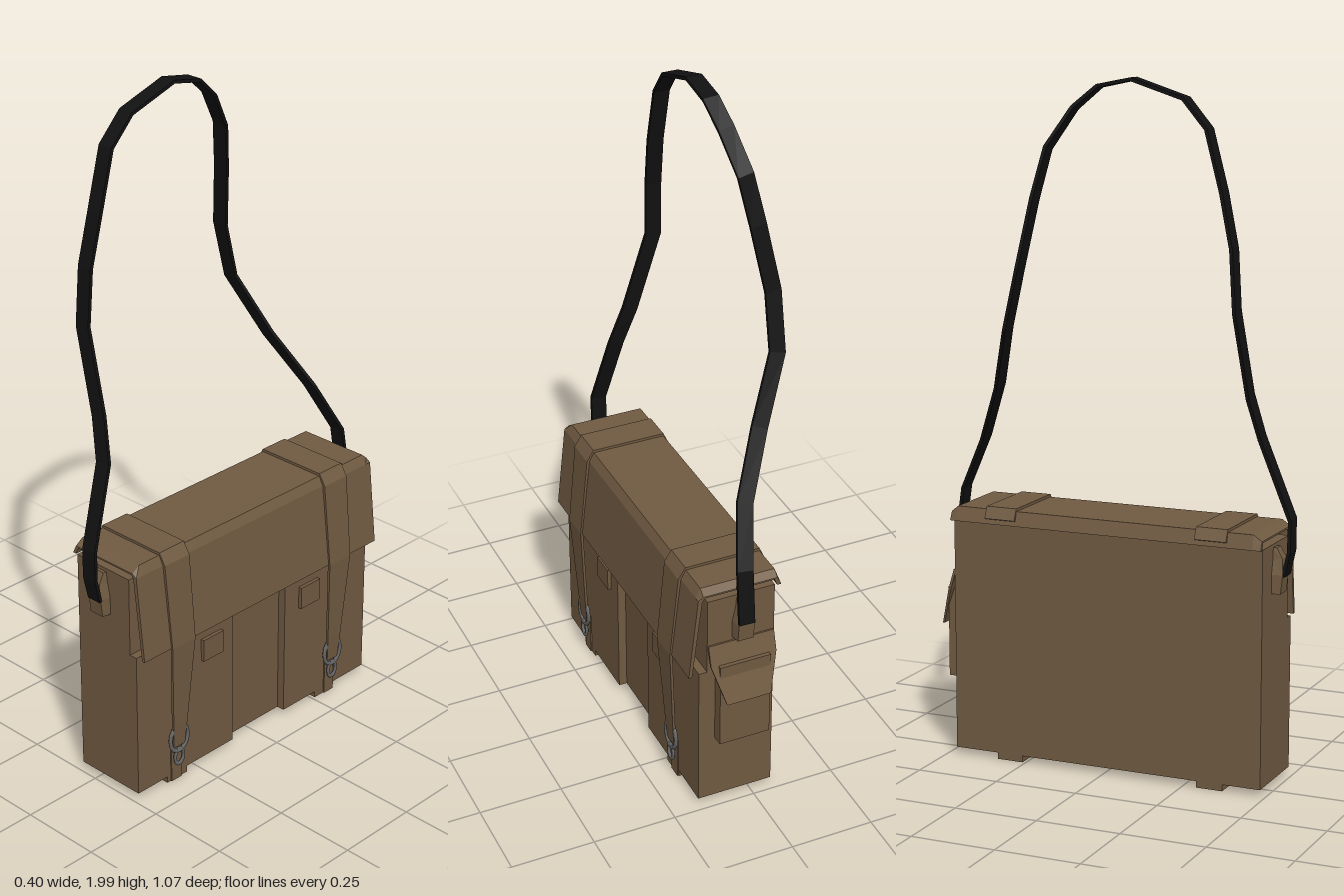
import * as THREE from 'three';

const leather = new THREE.MeshStandardMaterial({ color: 0x705a41, flatShading: true, side: THREE.DoubleSide });
const webbing = new THREE.MeshStandardMaterial({ color: 0x111111, flatShading: true, side: THREE.DoubleSide });
const metal = new THREE.MeshStandardMaterial({ color: 0x666666 });

function add(parent, name, geo, mat = leather) {
  const m = new THREE.Mesh(geo, mat);
  m.name = name;
  parent.add(m);
  return m;
}

// Box given by its limits on each axis
function box(x0, x1, y0, y1, z0, z1) {
  return new THREE.BoxGeometry(x1 - x0, y1 - y0, z1 - z0)
    .translate((x0 + x1) / 2, (y0 + y1) / 2, (z0 + z1) / 2);
}

// Closed solid through matching rings of points; ends are closed by strips
function loft(rings) {
  const n = rings[0].length, pts = rings.flat(), idx = [];
  const quad = (a, b, c, d) => idx.push(a, b, c, a, c, d);
  for (let r = 0; r < rings.length - 1; r++)
    for (let i = 0; i < n; i++) {
      const j = (i + 1) % n, o = r * n;
      quad(o + i, o + j, o + n + j, o + n + i);
    }
  const e = (rings.length - 1) * n;
  for (let i = 0; i < n / 2 - 1; i++) {
    quad(n - 1 - i, n - 2 - i, i + 1, i);
    quad(e + i, e + i + 1, e + n - 2 - i, e + n - 1 - i);
  }
  // Turn the faces outward
  let vol = 0;
  for (let i = 0; i < idx.length; i += 3)
    vol += pts[idx[i]].dot(pts[idx[i + 1]].clone().cross(pts[idx[i + 2]]));
  if (vol < 0) idx.reverse();
  const g = new THREE.BufferGeometry().setFromPoints(pts);
  g.setIndex(idx);
  const flat = g.toNonIndexed();
  flat.computeVertexNormals();
  return flat;
}

// Flat band along a path; widths run along the given axis
function band(path, widths, thick, axis) {
  return loft(path.map((p, i) => {
    const t = path[Math.min(i + 1, path.length - 1)].clone().sub(path[Math.max(i - 1, 0)]).normalize();
    const w = axis.clone().addScaledVector(t, -axis.dot(t)).normalize();
    const nrm = t.clone().cross(w).multiplyScalar(thick / 2);
    w.multiplyScalar((Array.isArray(widths) ? widths[i] : widths) / 2);
    return [[1, 1], [-1, 1], [-1, -1], [1, -1]].map(([a, b]) =>
      p.clone().addScaledVector(w, a).addScaledVector(nrm, b));
  }));
}

const V = (x, y, z) => new THREE.Vector3(x, y, z);

export function createModel() {
  const bag = new THREE.Group();
  bag.name = 'shoulderBag';

  // Body with two raised front pockets, leaving a recessed centre
  add(bag, 'body', box(-0.065, 0.14, 0.02, 0.71, -0.475, 0.485));
  for (const [z0, z1, tab] of [[0.1, 0.485, 0.19], [-0.475, -0.12, -0.22]]) {
    add(bag, 'frontPocket', box(0.135, 0.165, 0.02, 0.47, z0, z1));
    add(bag, 'pocketTab', box(0.16, 0.176, 0.35, 0.42, tab - 0.04, tab + 0.04));
  }

  // Lid: folded sheet with bevelled ends, open toward both sides
  const outer = [[-0.082, 0.71], [-0.07, 0.752], [0.155, 0.752], [0.17, 0.725], [0.198, 0.47]];
  const inner = [[0.188, 0.47], [0.158, 0.72], [0.15, 0.73], [-0.062, 0.73], [-0.07, 0.71]];
  const lidRing = (z, end) => [...outer, ...inner].map(([x, y], i) =>
    V(x, end && (i === 1 || i === 2) ? 0.735 : y, z));
  add(bag, 'lid', loft([lidRing(-0.48, true), lidRing(-0.46), lidRing(0.46), lidRing(0.485, true)]));

  // Closing straps with buckles and bottom loops
  for (const [z, zb] of [[0.336, 0.33], [-0.318, -0.3]]) {
    const path = [V(-0.082, 0.725, z), V(-0.07, 0.756, z), V(0.156, 0.756, z), V(0.174, 0.725, z),
      V(0.199, 0.47, z), V(0.183, 0.2, z), V(0.177, 0.12, z)];
    add(bag, 'closingStrap', band(path, [0.095, 0.095, 0.095, 0.095, 0.09, 0.055, 0.045], 0.008, V(0, 0, 1)));
    add(bag, 'bottomStrap', box(-0.063, 0.165, 0, 0.022, zb - 0.04, zb + 0.04));
    add(bag, 'strapTail', box(0.163, 0.169, 0, 0.13, z - 0.02, z + 0.02));
    const buckle = new THREE.Group();
    buckle.name = 'buckle';
    const ring = add(buckle, 'buckleRing', new THREE.TorusGeometry(0.035, 0.006, 6, 14), metal);
    ring.scale.y = 1.25;
    const hook = add(buckle, 'buckleHook', new THREE.TorusGeometry(0.017, 0.005, 6, 10), metal);
    hook.scale.y = 1.5;
    hook.position.y = -0.063;
    buckle.rotation.y = Math.PI / 2;
    buckle.position.set(0.18, 0.147, z);
    bag.add(buckle);
  }

  // Strap anchors on both ends: tapered block on the end wall
  for (const [s, wall] of [[1, 0.48], [-1, 0.472]]) {
    const ring = (y, hw, d) => [V(0.035 - hw, y, s * wall), V(0.035 + hw, y, s * wall),
      V(0.035 + hw * 0.8, y, s * (wall + d)), V(0.035 - hw * 0.8, y, s * (wall + d))];
    add(bag, 'strapAnchor', loft([ring(0.57, 0.03, 0.03), ring(0.625, 0.03, 0.036),
      ring(0.67, 0.02, 0.032), ring(0.7, 0.018, 0.015)]));
  }

  // End pouch with a flared flap
  add(bag, 'endPouch', box(-0.04, 0.115, 0.23, 0.5, -0.51, -0.47));
  const flapRing = (y, x0, x1, z, t) => [V(x0, y, z), V(x1, y, z), V(x1, y, z + t), V(x0, y, z + t)];
  add(bag, 'endPouchFlap', loft([flapRing(0.56, -0.063, 0.138, -0.48, 0.008),
    flapRing(0.5, -0.063, 0.138, -0.498, 0.008), flapRing(0.385, -0.03, 0.105, -0.536, 0.006)]));

  // Shoulder strap, a loop leaning to the back: points as x, y, z
  const loop = [
    [0.037, 0.62, 0.516], [0.037, 0.69, 0.532], [0.038, 0.78, 0.533], [0.012, 1.01, 0.45],
    [-0.025, 1.13, 0.428], [-0.095, 1.37, 0.414], [-0.092, 1.54, 0.403], [-0.085, 1.69, 0.37],
    [-0.085, 1.86, 0.325], [-0.08, 1.94, 0.255], [-0.08, 1.99, 0.1], [-0.083, 1.97, 0],
    [-0.095, 1.91, -0.07], [-0.12, 1.8, -0.14], [-0.145, 1.66, -0.17], [-0.178, 1.47, -0.2],
    [-0.175, 1.3, -0.24], [-0.09, 1.12, -0.31], [-0.005, 0.95, -0.4], [0.033, 0.79, -0.485],
    [0.037, 0.63, -0.51]];
  add(bag, 'shoulderStrap', band(loop.map(p => V(...p)), 0.048, 0.01, V(1, 0, 0)), webbing);

  return bag;
}
